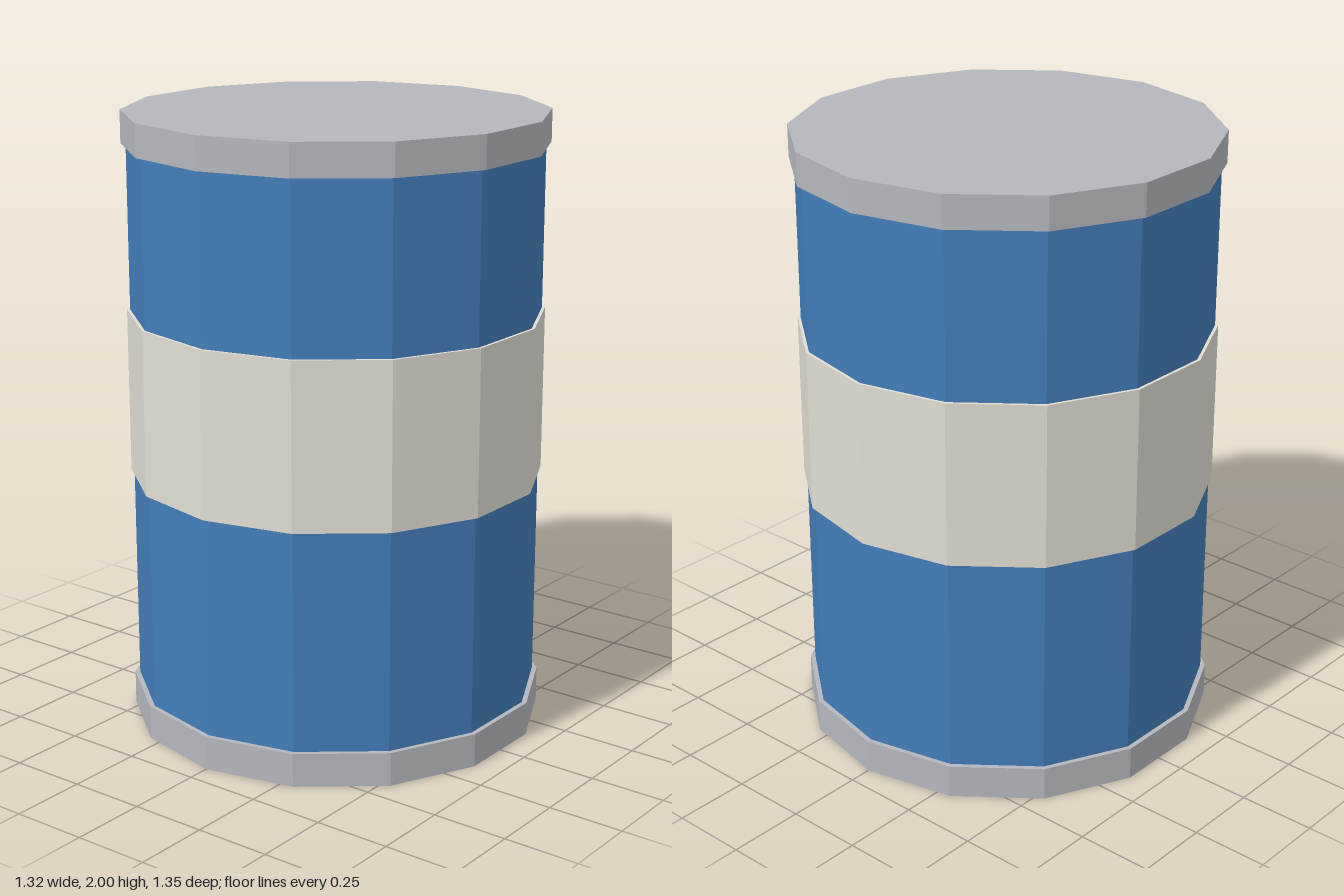
import * as THREE from 'three';

const SIDES = 14;

function material(name, color) {
  const m = new THREE.MeshStandardMaterial({ color, flatShading: true });
  m.name = name;
  return m;
}

export function createModel() {
  const group = new THREE.Group();
  group.name = 'barrel';
  const blue = material('blue paint', 0x427db9);
  const cream = material('cream band', 0xe0ddd3);
  const grey = material('grey metal', 0xb4b7bd);

  // A faceted drum section between two heights
  function section(name, radius, bottom, top, mat) {
    const height = top - bottom;
    const mesh = new THREE.Mesh(new THREE.CylinderGeometry(radius, radius, height, SIDES), mat);
    mesh.name = name;
    mesh.position.y = bottom + height / 2;
    group.add(mesh);
  }

  section('body', 0.661, 0.05, 1.95, blue);
  section('band', 0.671, 0.825, 1.36, cream);
  // Closed end caps, slightly wider than the body
  section('bottomRim', 0.677, 0, 0.11, grey);
  section('topRim', 0.677, 1.895, 2, grey);

  return group;
}
